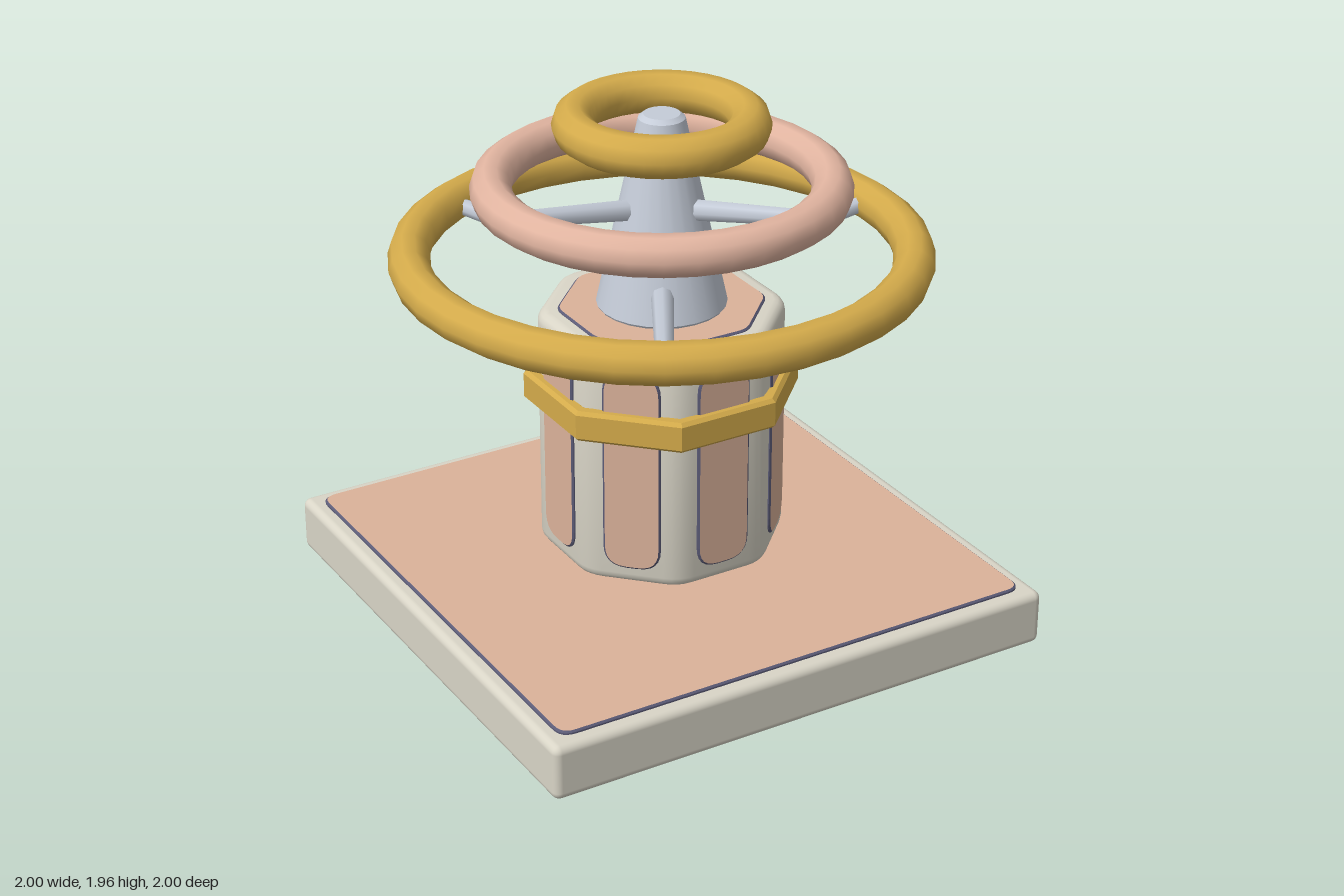
import * as THREE from 'three';
import { toCreasedNormals } from 'three/addons/utils/BufferGeometryUtils.js';
import { RoundedBoxGeometry } from 'three/addons/geometries/RoundedBoxGeometry.js';

const mat = (name, color) => {
  const m = new THREE.MeshStandardMaterial({ color });
  m.name = name;
  return m;
};

// Closed outline with softened corners
function roundedOutline(pts, r) {
  const shape = new THREE.Shape();
  pts.forEach((p, i) => {
    const prev = pts[(i + pts.length - 1) % pts.length];
    const next = pts[(i + 1) % pts.length];
    const a = p.clone().add(prev.clone().sub(p).setLength(r));
    const b = p.clone().add(next.clone().sub(p).setLength(r));
    if (i === 0) shape.moveTo(a.x, a.y); else shape.lineTo(a.x, a.y);
    shape.quadraticCurveTo(p.x, p.y, b.x, b.y);
  });
  shape.closePath();
  return shape;
}

// Octagon corners with a flat side facing each axis
function octagon(apothem) {
  const R = apothem / Math.cos(Math.PI / 8);
  return Array.from({ length: 8 }, (_, i) => {
    const a = (i + 0.5) * Math.PI / 4;
    return new THREE.Vector2(R * Math.cos(a), R * Math.sin(a));
  });
}

const rect = (w, h) => [[-1, -1], [1, -1], [1, 1], [-1, 1]]
  .map(([x, y]) => new THREE.Vector2(x * w / 2, y * h / 2));

export function createModel() {
  const cream = mat('cream', 0xd9d5c7);
  const clay = mat('clay', 0xdbb29a);
  const rose = mat('rose', 0xe2b5a1);
  const gold = mat('gold', 0xd4ab4b);
  const steel = mat('steel', 0xc5ccd8);
  const slate = mat('slate', 0x5a5a76);

  const model = new THREE.Group();
  const add = (name, geometry, material, parent = model) => {
    const mesh = new THREE.Mesh(geometry, material);
    mesh.name = name;
    parent.add(mesh);
    return mesh;
  };

  // Thin inlay with a clay face and slate rim, facing +z
  const inlay = (pts, r) => new THREE.ExtrudeGeometry(roundedOutline(pts, r), {
    depth: 0.006, bevelThickness: 0.006, bevelSize: 0.007, bevelOffset: -0.007,
    bevelSegments: 1, curveSegments: 6,
  });

  // Base slab with inlays above and below
  add('baseSlab', new RoundedBoxGeometry(2, 0.21, 2, 3, 0.03).translate(0, 0.12, 0), cream);
  add('baseTopInlay', inlay(rect(1.89, 1.89), 0.06).rotateX(-Math.PI / 2).translate(0, 0.225, 0), [clay, slate]);
  add('baseBottomInlay', inlay(rect(1.89, 1.89), 0.06).rotateX(Math.PI / 2).translate(0, 0.012, 0), [clay, slate]);

  // Octagonal body with rounded edges
  const body = new THREE.ExtrudeGeometry(roundedOutline(octagon(0.42), 0.06), {
    depth: 0.835, bevelThickness: 0.04, bevelSize: 0.04, bevelOffset: -0.04,
    bevelSegments: 4, curveSegments: 4,
  }).rotateX(-Math.PI / 2).translate(0, 0.33, 0);
  add('body', toCreasedNormals(body, 0.6), cream);
  add('bodyTopInlay', inlay(octagon(0.35), 0.04).rotateX(-Math.PI / 2).translate(0, 1.201, 0), [clay, slate]);
  add('bodyBottomInlay', inlay(octagon(0.35), 0.04).rotateX(Math.PI / 2).translate(0, 0.289, 0), [clay, slate]);

  // Eight side panels
  const panels = new THREE.Group();
  panels.name = 'sidePanels';
  model.add(panels);
  const panelGeometry = inlay(rect(0.21, 0.775), 0.085).translate(0, 0.745, 0.418);
  for (let i = 0; i < 8; i++) {
    add('sidePanel', panelGeometry, [clay, slate], panels).rotation.y = i * Math.PI / 4;
  }

  // Octagonal band around the body
  const bandShape = new THREE.Shape(octagon(0.46));
  bandShape.holes.push(new THREE.Path(octagon(0.405).reverse()));
  add('band', new THREE.ExtrudeGeometry(bandShape, {
    depth: 0.09, bevelThickness: 0.013, bevelSize: 0.013, bevelOffset: -0.013, bevelSegments: 1,
  }).rotateX(-Math.PI / 2).translate(0, 0.872, 0), gold);

  // Tapered spindle
  const profile = [[0, 1.208], [0.225, 1.208], [0.234, 1.222], [0.083, 1.915], [0.065, 1.93], [0, 1.93]]
    .map(([x, y]) => new THREE.Vector2(x, y));
  add('spindle', toCreasedNormals(new THREE.LatheGeometry(profile, 24), 0.4), steel);

  // Three stacked rings
  const ring = (name, outer, y, material) => add(name,
    new THREE.TorusGeometry(outer - 0.075, 0.075, 10, 36).rotateX(Math.PI / 2).translate(0, y, 0), material);
  ring('lowerRing', 0.965, 1.407, gold);
  ring('middleRing', 0.672, 1.66, rose);
  ring('upperRing', 0.383, 1.893, gold);

  // Tapered spokes rising from the spindle to the two larger rings
  const up = new THREE.Vector3(0, 1, 0);
  function spokes(name, start, end, firstAngle) {
    const from = new THREE.Vector3(...start, 0);
    const to = new THREE.Vector3(...end, 0);
    const dir = to.clone().sub(from);
    const geometry = new THREE.CylinderGeometry(0.03, 0.04, dir.length(), 8);
    geometry.applyQuaternion(new THREE.Quaternion().setFromUnitVectors(up, dir.clone().normalize()));
    const mid = from.add(to).multiplyScalar(0.5);
    geometry.translate(mid.x, mid.y, 0);
    for (let i = 0; i < 3; i++) {
      add(name, geometry, steel).rotation.y = firstAngle + i * Math.PI * 2 / 3;
    }
  }
  spokes('lowerSpoke', [0.18, 1.32], [0.88, 1.41], 0);
  spokes('middleSpoke', [0.135, 1.595], [0.59, 1.66], Math.PI);

  return model;
}
